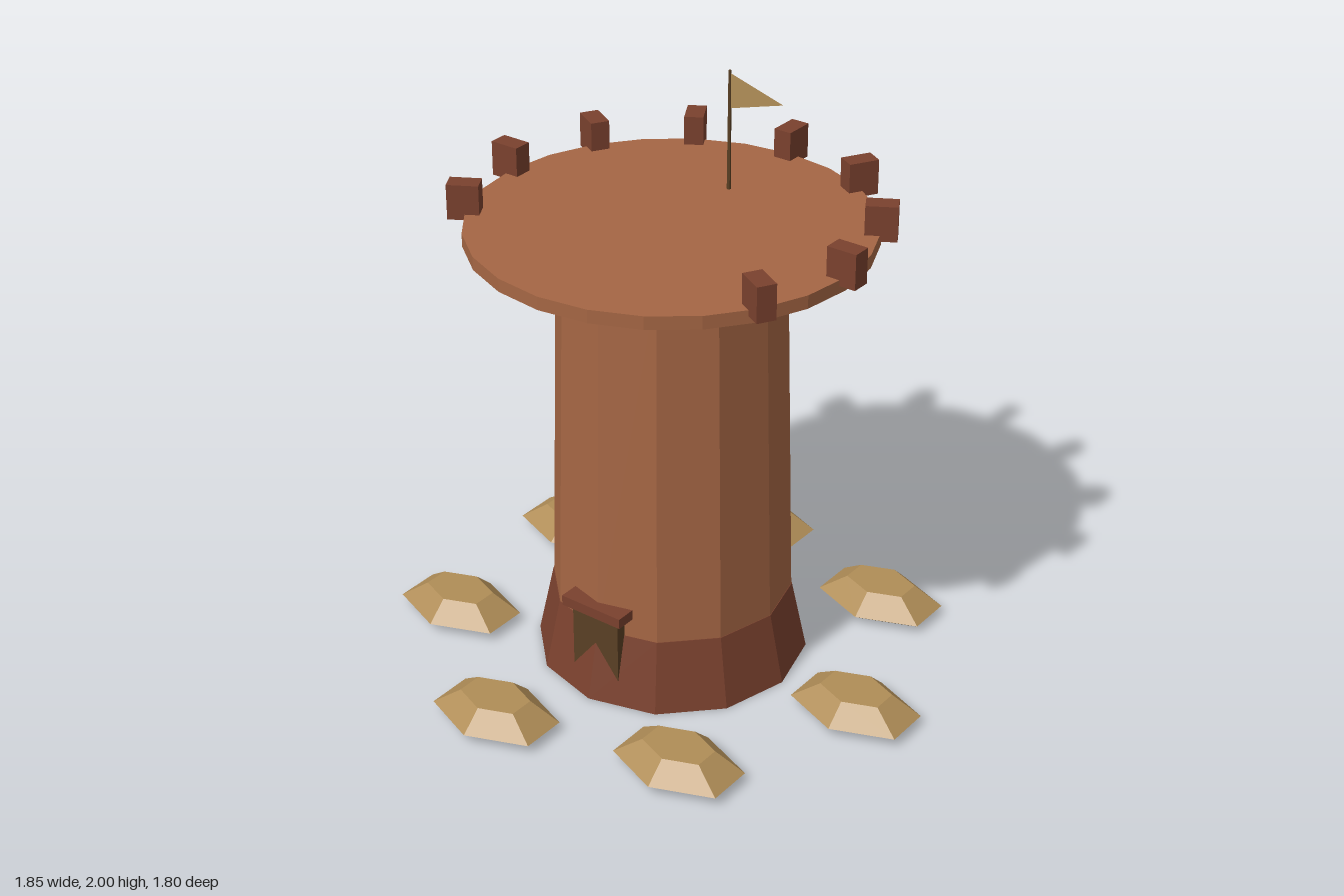
import * as THREE from 'three';

const mat = (name, color, extra = {}) => {
  const m = new THREE.MeshStandardMaterial({ color, flatShading: true, ...extra });
  m.name = name;
  return m;
};

export function createModel() {
  const clay = mat('clay', 0xa56644);
  const darkClay = mat('dark clay', 0x7a412e);
  const sand = mat('sand', 0xb08d57, { side: THREE.DoubleSide });
  const wood = mat('dark wood', 0x5a4024);

  const model = new THREE.Group();
  model.name = 'watchtower';
  const tower = new THREE.Group();
  tower.name = 'tower';
  tower.position.x = -0.04;
  model.add(tower);

  const add = (name, geometry, material, x = 0, y = 0, z = 0) => {
    const mesh = new THREE.Mesh(geometry, material);
    mesh.name = name;
    mesh.position.set(x, y, z);
    tower.add(mesh);
    return mesh;
  };

  // Tapered twelve-sided shaft on a flared footing
  add('footing', new THREE.CylinderGeometry(0.412, 0.465, 0.25, 12), darkClay, 0, 0.125);
  add('shaft', new THREE.CylinderGeometry(0.373, 0.41, 1.3, 12), clay, 0, 0.895);

  // Wide round lookout platform
  add('platform', new THREE.CylinderGeometry(0.665, 0.665, 0.045, 24), clay, 0, 1.565);

  // Battlement blocks, with a gap of three at the front
  const block = new THREE.BoxGeometry(0.105, 0.12, 0.065);
  for (let i = 0; i < 12; i++) {
    if (i >= 2 && i <= 4) continue;
    const a = (i * Math.PI) / 6;
    const b = add('battlement', block, darkClay, 0.665 * Math.cos(a), 1.628, 0.665 * Math.sin(a));
    b.rotation.y = -a;
  }

  // Door sunk into the sloping footing, with a lintel
  add('door', new THREE.BoxGeometry(0.187, 0.32, 0.1), wood, 0, 0.17, 0.372);
  add('lintel', new THREE.BoxGeometry(0.24, 0.036, 0.075), darkClay, 0, 0.337, 0.408);

  // Flagpole and pennant
  add('flagpole', new THREE.CylinderGeometry(0.005, 0.007, 0.42, 6), wood, 0, 1.79, -0.31);
  const pennant = new THREE.Shape([
    new THREE.Vector2(0, 0.06), new THREE.Vector2(0, -0.06), new THREE.Vector2(0.205, 0),
  ]);
  add('pennant', new THREE.ShapeGeometry(pennant), sand, 0.003, 1.93, -0.31);

  // Ring of seven flattened hexagonal rocks
  const profile = [[0, 0.01], [0.185, 0.01], [0.236, 0.033], [0.13, 0.1], [0, 0.1]];
  const rock = new THREE.LatheGeometry(profile.map(([r, y]) => new THREE.Vector2(r, y)), 6);
  rock.scale(1, 1, 0.68);
  for (let i = 0; i < 7; i++) {
    const a = (i * Math.PI * 2) / 7;
    add('rock', rock, sand, 0.76 * Math.cos(a), 0, 0.76 * Math.sin(a));
  }

  return model;
}
